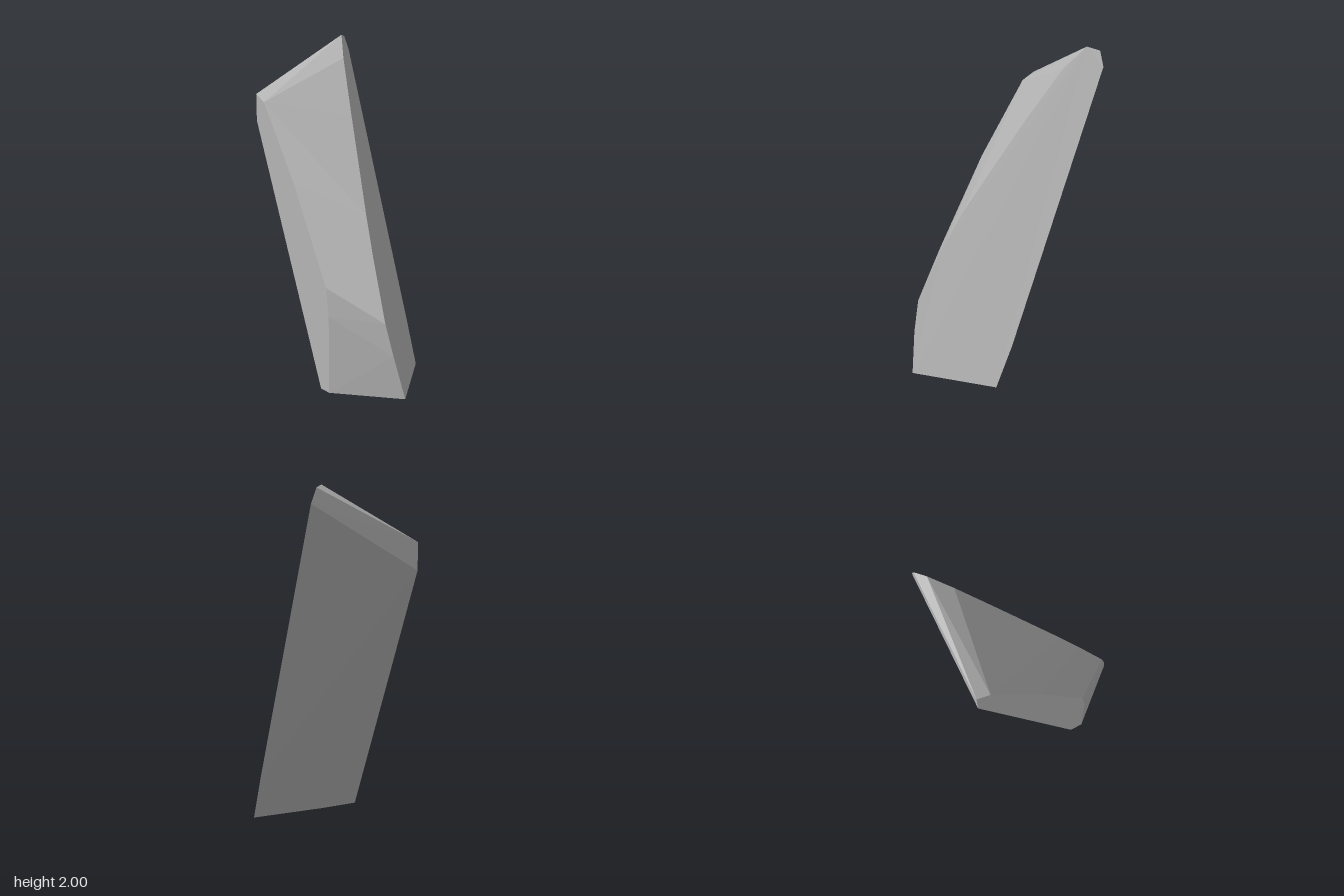
import * as THREE from 'three';
import { ConvexGeometry } from 'three/addons/geometries/ConvexGeometry.js';

export function createModel() {
  const group = new THREE.Group();
  group.name = 'stoneShard';
  const stone = new THREE.MeshStandardMaterial({ color: 0xb4b4b4 });
  stone.name = 'grey stone';

  // Flat split face: outline as x, y; z follows the slanted plane
  const splitFace = [
    [-0.06, 0], [-0.11, 0.26], [-0.135, 0.45], [-0.093, 0.8], [-0.05, 1.02],
    [0.09, 1.55], [0.185, 1.87], [0.255, 2], [0.315, 1.985], [0.35, 1.9],
    [0.35, 0.26], [0.34, 0],
  ].map(([x, y]) => new THREE.Vector3(x, y, 0.525 - 0.9 * (x + 0.06) - 0.358 * y));

  // Upright flat side: outline as y, z at x = -0.35
  const flatSide = [
    [0, 0.18], [0.47, 0.18], [0.64, 0.157], [1.2, -0.15],
    [1.64, -0.445], [1.68, -0.525], [1.52, -0.525], [0, 0.1],
  ].map(([y, z]) => new THREE.Vector3(-0.35, y, z));

  // Slight bulge at the foot of the back
  const backFoot = new THREE.Vector3(-0.105, 0, 0.112);

  const shard = new THREE.Mesh(new ConvexGeometry([...splitFace, ...flatSide, backFoot]), stone);
  shard.name = 'shard';
  group.add(shard);
  return group;
}
